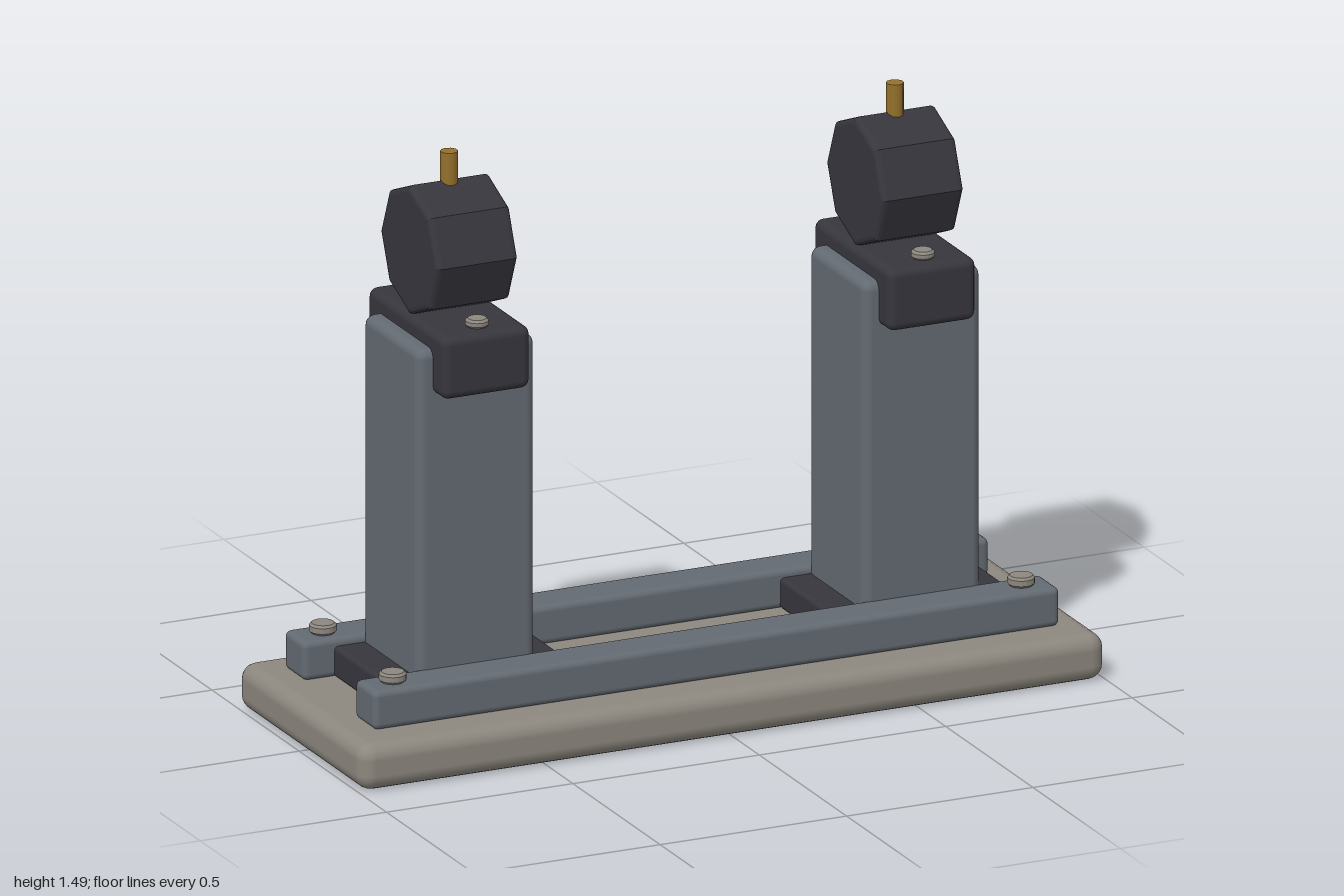
import * as THREE from 'three';
import { RoundedBoxGeometry } from 'three/addons/geometries/RoundedBoxGeometry.js';

function material(name, color) {
  const m = new THREE.MeshStandardMaterial({ color });
  m.name = name;
  return m;
}

export function createModel() {
  const stone = material('warm grey', 0x8c877e);
  const steel = material('blue grey steel', 0x636a72);
  const dark = material('dark iron', 0x37363d);
  const brass = material('brass', 0x94712c);

  const model = new THREE.Group();
  model.name = 'twinPostStand';

  function add(parent, name, geometry, mat, x, y, z) {
    const mesh = new THREE.Mesh(geometry, mat);
    mesh.name = name;
    mesh.position.set(x, y, z);
    parent.add(mesh);
    return mesh;
  }

  // Rounded block standing on y = bottom
  function block(parent, name, mat, [w, h, d], radius, x, bottom, z) {
    return add(parent, name, new RoundedBoxGeometry(w, h, d, 3, radius), mat, x, bottom + h / 2, z);
  }

  // Bolt head with a chamfered rim, standing on y = 0 of its own frame
  function boltGeometry(r, h) {
    const c = 0.006;
    const profile = [[0, -0.01], [r - c, -0.01], [r - c, 0], [r, c], [r, h - c], [r - c, h], [0, h]];
    const g = new THREE.LatheGeometry(profile.map(([x, y]) => new THREE.Vector2(x, y)), 16).toNonIndexed();
    g.computeVertexNormals();
    return g;
  }

  // Eight-sided drum along x, with softened end rims
  function drumGeometry(radius, width, bevel) {
    const shape = new THREE.Shape();
    for (let i = 0; i < 8; i++) {
      const a = (i * Math.PI) / 4;
      const p = [Math.cos(a) * radius, Math.sin(a) * radius];
      if (i) shape.lineTo(...p);
      else shape.moveTo(...p);
    }
    shape.closePath();
    const g = new THREE.ExtrudeGeometry(shape, {
      depth: width - 2 * bevel, bevelEnabled: true, bevelThickness: bevel,
      bevelSize: bevel, bevelOffset: -bevel, bevelSegments: 3,
    });
    return g.translate(0, 0, bevel - width / 2).rotateY(Math.PI / 2);
  }

  // Base slab and the two long rails
  block(model, 'base', stone, [2, 0.12, 0.72], 0.04, 0, 0, 0);
  const railBolt = boltGeometry(0.034, 0.026);
  for (const sz of [-1, 1]) {
    block(model, 'rail', steel, [1.84, 0.1, 0.115], 0.016, 0, 0.12, sz * 0.2025);
    for (const sx of [-1, 1]) add(model, 'railBolt', railBolt, stone, sx * 0.843, 0.22, sz * 0.2);
  }

  // Posts with foot, saddle, drum and pin
  const drum = drumGeometry(0.166, 0.218, 0.014);
  const capBolt = boltGeometry(0.029, 0.022);
  const pin = new THREE.CylinderGeometry(0.022, 0.022, 0.12, 10);
  for (const sx of [-1, 1]) {
    const tower = new THREE.Group();
    tower.name = sx > 0 ? 'leftTower' : 'rightTower';
    tower.position.x = sx * 0.598;
    model.add(tower);
    block(tower, 'foot', dark, [0.48, 0.08, 0.31], 0.012, 0, 0.12, 0);
    block(tower, 'post', steel, [0.316, 0.92, 0.32], 0.025, 0, 0.12, 0);
    block(tower, 'saddle', dark, [0.236, 0.16, 0.44], 0.022, 0, 0.925, 0);
    for (const sz of [-1, 1]) add(tower, 'saddleBolt', capBolt, stone, 0, 1.084, sz * 0.16);
    add(tower, 'drum', drum, dark, 0, 1.245, 0);
    add(tower, 'pin', pin, brass, 0, 1.425, 0);
  }
  return model;
}
